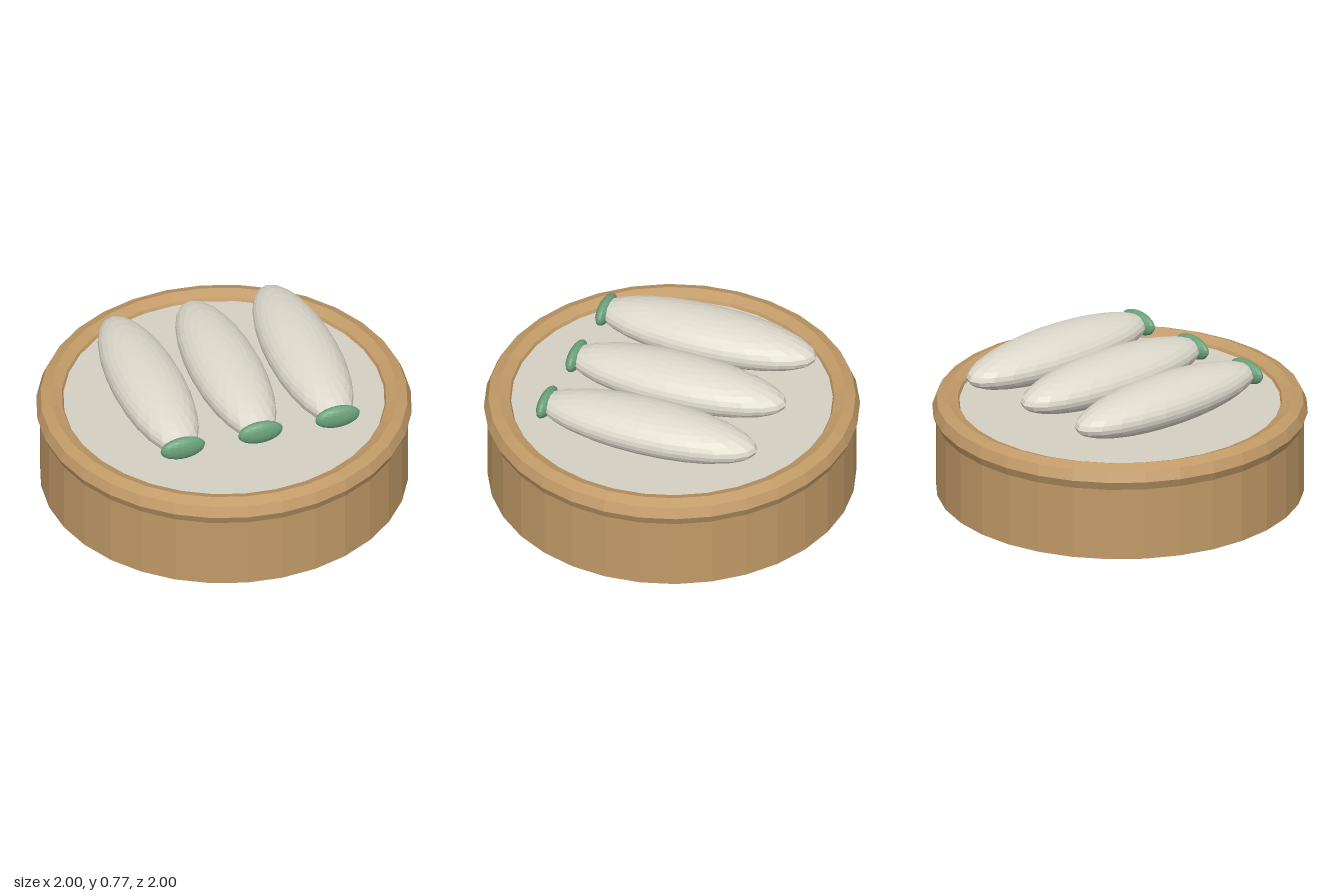
import * as THREE from 'three';

const flat = (name, color) => {
  const m = new THREE.MeshStandardMaterial({ color, flatShading: true });
  m.name = name;
  return m;
};

export function createModel() {
  const wood = flat('wood', 0xc19a67);
  const paper = flat('paper', 0xd3cfc2);
  const dough = flat('dough', 0xdcd8cb);
  const green = flat('green', 0x6aa07a);

  const model = new THREE.Group();
  model.name = 'steamerBasket';

  const add = (parent, name, geometry, material, x, y, z) => {
    const mesh = new THREE.Mesh(geometry, material);
    mesh.name = name;
    mesh.position.set(x, y, z);
    parent.add(mesh);
    return mesh;
  };

  // Round basket with a faceted rim and a pale liner
  add(model, 'basket', new THREE.CylinderGeometry(0.98, 0.98, 0.45, 32), wood, 0, 0.225, 0);
  add(model, 'rim', new THREE.TorusGeometry(0.92, 0.08, 8, 32).rotateX(Math.PI / 2), wood, 0, 0.45, 0);
  add(model, 'liner', new THREE.CylinderGeometry(0.855, 0.855, 0.06, 32), paper, 0, 0.46, 0);

  // Three long rolls, each with a green tip at the front
  const rollShape = new THREE.SphereGeometry(1, 24, 16).scale(0.195, 0.125, 0.618);
  const tipShape = new THREE.SphereGeometry(1, 16, 12).scale(0.125, 0.065, 0.04);
  [-0.41, 0.025, 0.457].forEach((x) => {
    const roll = new THREE.Group();
    roll.name = 'roll';
    roll.position.set(x, 0.645, 0);
    add(roll, 'rollBody', rollShape, dough, 0, 0, -0.043);
    add(roll, 'rollTip', tipShape, green, 0, 0, 0.535);
    model.add(roll);
  });

  return model;
}
